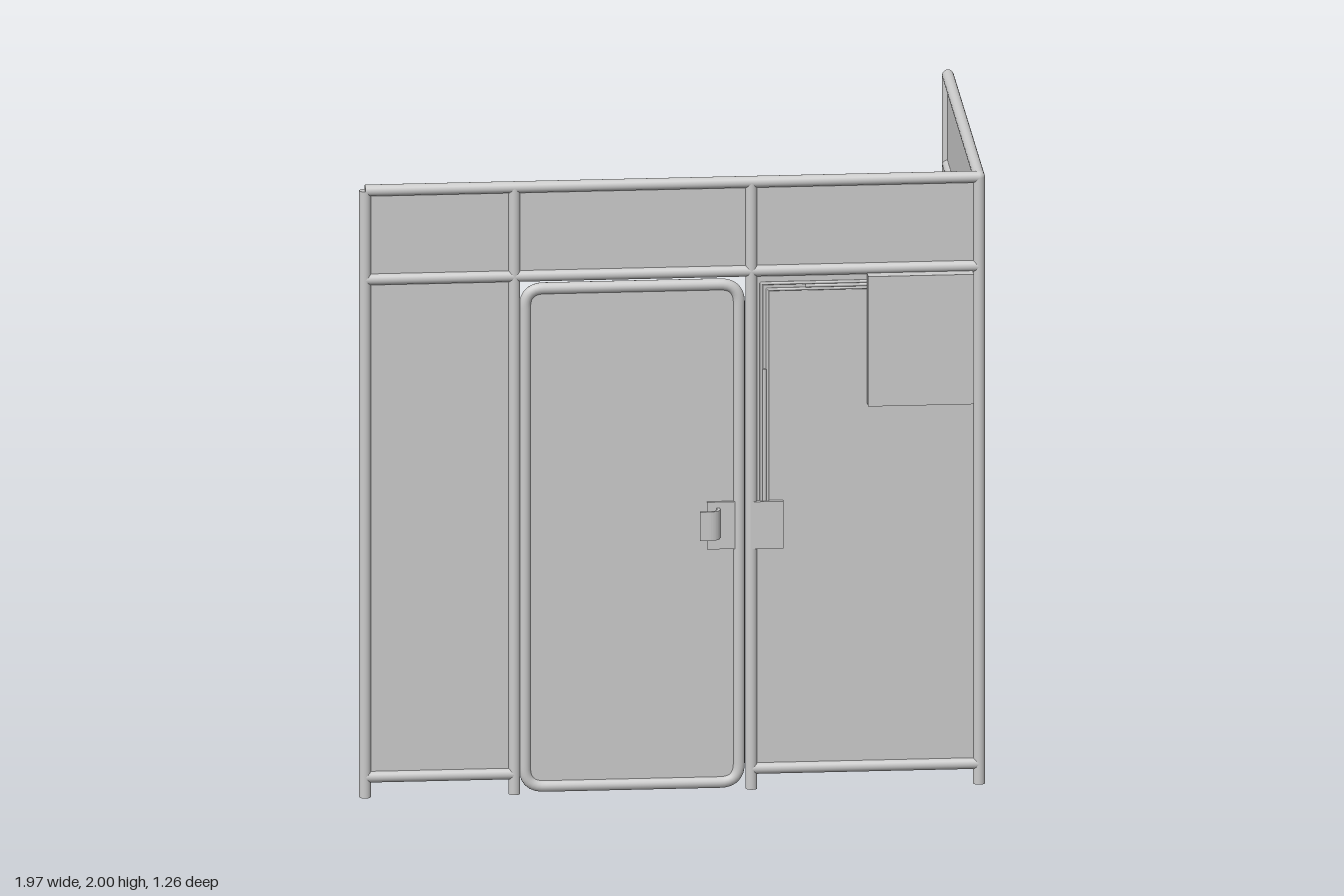
import * as THREE from 'three';

const R = 0.0185;        // tube radius
const FZ = 0.57;         // plane of the front wall
const SX = 0.968;        // plane of the side wall
const BACK = -0.609;     // free end of the side wall
const TOP = 1.98, MID = 1.69, LOW = 0.066;
const LEFT = -0.968, POST_A = -0.497, POST_B = 0.25;

export function createModel() {
  const model = new THREE.Group();
  const grey = new THREE.MeshStandardMaterial({ color: 0xcccccc });

  const add = (name, geometry) => {
    const mesh = new THREE.Mesh(geometry, grey);
    mesh.name = name;
    model.add(mesh);
    return mesh;
  };

  // Box given by its limits on each axis
  const box = (name, x0, x1, y0, y1, z0, z1) =>
    add(name, new THREE.BoxGeometry(x1 - x0, y1 - y0, z1 - z0))
      .position.set((x0 + x1) / 2, (y0 + y1) / 2, (z0 + z1) / 2);

  // Round bar between two points
  const bar = (name, a, b, r = R, sides = 20) => {
    const from = new THREE.Vector3(...a), to = new THREE.Vector3(...b);
    const dir = to.clone().sub(from);
    const mesh = add(name, new THREE.CylinderGeometry(r, r, dir.length(), sides));
    mesh.position.copy(from).add(to).multiplyScalar(0.5);
    mesh.quaternion.setFromUnitVectors(new THREE.Vector3(0, 1, 0), dir.normalize());
  };

  // Posts
  for (const [x, z] of [[LEFT, FZ], [POST_A, FZ], [POST_B, FZ], [SX, FZ], [SX, BACK]])
    bar('post', [x, 0, z], [x, TOP, z]);

  // Rails of both walls, with a rounded joint at the top corner
  for (const [name, y] of [['topRail', TOP], ['middleRail', MID]]) {
    bar(name, [LEFT, y, FZ], [SX, y, FZ]);
    bar(name, [SX, y, FZ], [SX, y, BACK]);
  }
  bar('bottomRail', [LEFT, LOW, FZ], [POST_A, LOW, FZ]);
  bar('bottomRail', [POST_B, LOW, FZ], [SX, LOW, FZ]);
  bar('bottomRail', [SX, LOW, FZ], [SX, LOW, BACK]);
  add('cornerJoint', new THREE.SphereGeometry(R, 20, 12)).position.set(SX, TOP, FZ);

  // Thin wall panels
  const T = 0.003;
  box('leftPanel', LEFT, POST_A, LOW, MID, FZ - T, FZ + T);
  box('rightPanel', POST_B, SX, LOW, MID, FZ - T, FZ + T);
  const bays = [LEFT, POST_A, POST_B, SX];
  for (let i = 0; i < 3; i++)
    box('upperPanel', bays[i], bays[i + 1], MID, TOP, FZ - T, FZ + T);
  box('sidePanel', SX - T, SX + T, LOW, MID, BACK, FZ);
  box('sideUpperPanel', SX - T, SX + T, MID, TOP, BACK, FZ);

  // Door frame: one tube bent round four soft corners
  const x0 = -0.464, x1 = 0.211, y0 = 0.023, y1 = 1.648, c = 0.06;
  const v = (x, y) => new THREE.Vector3(x, y, FZ);
  const corners = [
    [v(x1 - c, y0), v(x1, y0), v(x1, y0 + c)],
    [v(x1, y1 - c), v(x1, y1), v(x1 - c, y1)],
    [v(x0 + c, y1), v(x0, y1), v(x0, y1 - c)],
    [v(x0, y0 + c), v(x0, y0), v(x0 + c, y0)],
  ];
  const path = new THREE.CurvePath();
  corners.forEach((k, i) => {
    path.add(new THREE.QuadraticBezierCurve3(...k));
    path.add(new THREE.LineCurve3(k[2], corners[(i + 1) % 4][0]));
  });
  add('doorFrame', new THREE.TubeGeometry(path, 320, R, 16, true));

  // Door panel follows the frame's centre line
  const doorShape = new THREE.Shape();
  corners.forEach(([a, b, d], i) => {
    if (i === 0) doorShape.moveTo(a.x, a.y);
    else doorShape.lineTo(a.x, a.y);
    doorShape.quadraticCurveTo(b.x, b.y, d.x, d.y);
  });
  const door = new THREE.ExtrudeGeometry(doorShape, { depth: 2 * T, bevelEnabled: false });
  add('doorPanel', door.translate(0, 0, FZ - T));

  // Door plate and a curved pull on each face
  box('handlePlate', 0.11, 0.197, 0.786, 0.94, FZ - 0.012, FZ + 0.012);
  for (const s of [1, -1]) {
    const pull = new THREE.Shape();
    pull.moveTo(0.15, 0);
    pull.lineTo(0.15, s * 0.028);
    pull.quadraticCurveTo(0.146, s * 0.058, 0.112, s * 0.058);
    pull.lineTo(0.084, s * 0.058);
    pull.lineTo(0.084, s * 0.05);
    pull.lineTo(0.11, s * 0.05);
    pull.quadraticCurveTo(0.137, s * 0.05, 0.14, s * 0.026);
    pull.lineTo(0.14, 0);
    const geo = new THREE.ExtrudeGeometry(pull, { depth: 0.094, bevelEnabled: false, curveSegments: 10 });
    add('doorPull', geo.rotateX(Math.PI / 2).translate(0, 0.921, FZ));
  }

  // Lock case beside the door, with a thin lip through the panel
  box('lockCase', 0.247, 0.35, 0.786, 0.94, FZ, FZ + 0.019);
  box('lockLip', 0.25, 0.35, 0.936, 0.94, FZ - 0.008, FZ);

  // Control box on the right panel
  box('controlBox', 0.614, 0.947, 1.253, 1.677, FZ, 0.625);

  // Conduits running from the control box down to the lock
  const cz = FZ + 0.006;
  for (const [x, y] of [[0.281, 1.649], [0.301, 1.629]]) {
    bar('conduit', [0.63, y, cz], [x, y, cz], 0.005, 10);
    bar('conduit', [x, y, cz], [x, 0.93, cz], 0.005, 10);
    add('conduitElbow', new THREE.SphereGeometry(0.005, 10, 8)).position.set(x, y, cz);
  }
  // Short sleeves between the two conduits near their ends
  bar('conduitSleeve', [0.63, 1.639, cz], [0.42, 1.639, cz], 0.006, 10);
  bar('conduitSleeve', [0.291, 1.37, cz], [0.291, 0.93, cz], 0.006, 10);

  return model;
}
